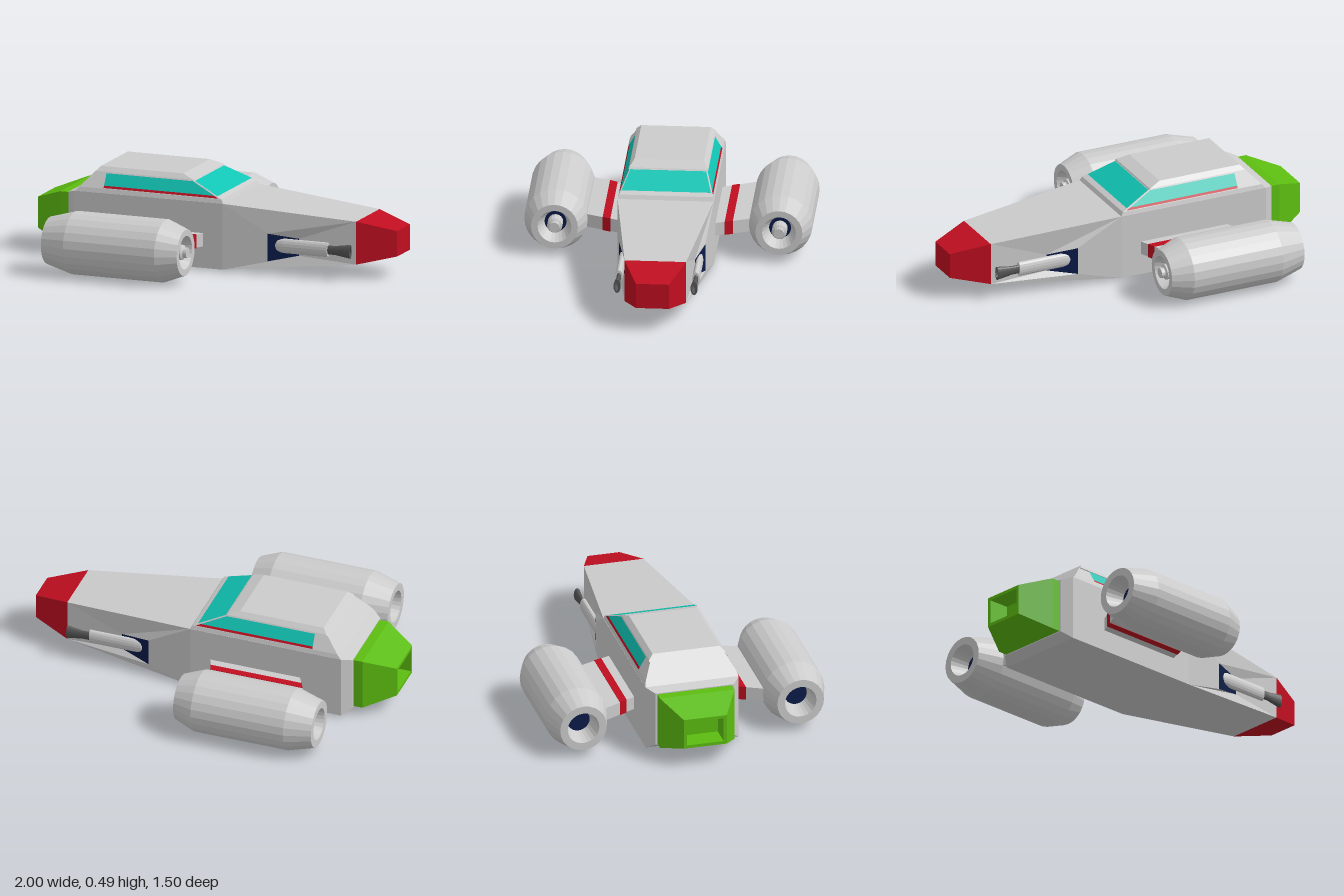
import * as THREE from 'three';

const mat = (color) => new THREE.MeshStandardMaterial({ color, flatShading: true });

// Triangulates a list of convex polygons as fans
function polyGeometry(polys) {
  const pos = [];
  for (const p of polys)
    for (let i = 1; i < p.length - 1; i++) pos.push(...p[0], ...p[i], ...p[i + 1]);
  const g = new THREE.BufferGeometry();
  g.setAttribute('position', new THREE.Float32BufferAttribute(pos, 3));
  g.computeVertexNormals();
  return g;
}

// Skins consecutive four-cornered rings; caps are optional
function loft(rings, startCap = true, endCap = true) {
  const polys = [];
  for (let k = 0; k < rings.length - 1; k++) {
    const a = rings[k], b = rings[k + 1];
    for (let i = 0; i < 4; i++) {
      const j = (i + 1) % 4;
      polys.push([a[i], a[j], b[j], b[i]]);
    }
  }
  if (startCap) polys.push([...rings[0]].reverse());
  if (endCap) polys.push(rings[rings.length - 1]);
  return polys;
}

const xRing = (x, y0, y1, h) => [[x, y0, h], [x, y0, -h], [x, y1, -h], [x, y1, h]];
const yRing = (y, xr, xf, h) => [[xr, y, h], [xf, y, h], [xf, y, -h], [xr, y, -h]];
const mirrorZ = (polys) => polys.map((p) => p.map(([x, y, z]) => [x, y, -z]).reverse());
const bothSides = (polys) => [...polys, ...mirrorZ(polys)];

// Turned part whose axis runs along x; points are [radius, x]
function turned(points, sides) {
  const g = new THREE.LatheGeometry(points.map(([r, x]) => new THREE.Vector2(r, x)), sides);
  return g.rotateZ(-Math.PI / 2);
}

export function createModel() {
  const model = new THREE.Group();
  const grey = mat(0xcccccc), red = mat(0xc00e20), teal = mat(0x10c4b4);
  const green = mat(0x5cbc10), navy = mat(0x0a1a48), dark = mat(0x555555);

  const add = (parent, name, geometry, material) => {
    const m = new THREE.Mesh(geometry, material);
    m.name = name;
    parent.add(m);
    return m;
  };

  // Hull: boxy rear, then a tapering bow with a dent in each flank
  const mid = xRing(0.09, 0.015, 0.365, 0.25);
  const bow = xRing(0.8, 0.085, 0.313, 0.16);
  const hull = loft([xRing(-0.79, 0.05, 0.345, 0.21), xRing(-0.74, 0.015, 0.362, 0.25), mid], true, false);
  const [B, Bn, An, A] = mid, [C, Cn, Dn, D] = bow;
  const recess = [[0.33, 0.075, 0.224], [0.49, 0.11, 0.182], [0.49, 0.2, 0.182], [0.33, 0.222, 0.224]];
  const [P, Q, R, S] = recess;
  hull.push([B, Bn, Cn, C], [An, A, D, Dn]);
  hull.push(...bothSides([[A, B, P, S], [B, C, Q, P], [C, D, R, Q], [D, A, S, R]]));
  add(model, 'hull', polyGeometry(hull), grey);
  add(model, 'gunRecesses', polyGeometry(bothSides([recess])), navy);

  add(model, 'nose', polyGeometry(loft([bow, xRing(1, 0.13, 0.265, 0.086)])), red);

  // Hollow tail nozzle, from the recess floor out over the rim
  add(model, 'tailNozzle', polyGeometry(loft([
    xRing(-0.88, 0.13, 0.265, 0.1), xRing(-1, 0.132, 0.263, 0.098), xRing(-1, 0.115, 0.28, 0.115),
    xRing(-0.84, 0.055, 0.34, 0.2), xRing(-0.785, 0.055, 0.34, 0.2),
  ], true, false)), green);

  // Cabin with a slightly overhanging roof
  add(model, 'cabin', polyGeometry(loft([
    yRing(0.36, -0.74, 0.095, 0.25), yRing(0.385, -0.717, 0.08, 0.243), yRing(0.46, -0.648, -0.09, 0.2),
  ])), grey);
  add(model, 'roof', polyGeometry(loft([
    yRing(0.46, -0.648, -0.09, 0.207), yRing(0.467, -0.641, -0.095, 0.203), yRing(0.49, -0.62, -0.16, 0.18),
  ])), grey);

  // Windows and stripes lie just above the sloping cabin walls
  const wallZ = (y) => 0.246 - (y - 0.385) * 0.573;
  const frontX = (y) => 0.083 - (y - 0.385) * 2.267;
  const band = (y0, y1) => [[
    [-0.58, y0, wallZ(y0)], [frontX(y0) - 0.012, y0, wallZ(y0)],
    [frontX(y1) - 0.012, y1, wallZ(y1)], [-0.58, y1, wallZ(y1)],
  ]];
  add(model, 'sideWindows', polyGeometry(bothSides(band(0.4, 0.46))), teal);
  add(model, 'cabinStripes', polyGeometry(bothSides(band(0.389, 0.4))), red);
  const wy0 = 0.398, wy1 = 0.46;
  add(model, 'windscreen', polyGeometry([[
    [frontX(wy0), wy0, wallZ(wy0) - 0.006], [frontX(wy0), wy0, 0.006 - wallZ(wy0)],
    [frontX(wy1), wy1, 0.006 - wallZ(wy1)], [frontX(wy1), wy1, wallZ(wy1) - 0.006],
  ]]), teal);

  // Wing slab between two distances from the hull, following the swept plan
  const wingSlab = (z0, z1, t) => {
    const edge = (z) => {
      const k = (z - 0.25) / 0.17;
      const xr = -0.515 - 0.085 * k - t, xf = -0.02 - 0.07 * k + t;
      return [[xr, 0.13 - t, z], [xf, 0.13 - t, z], [xf, 0.2 + t, z], [xr, 0.2 + t, z]];
    };
    return loft([edge(z0), edge(z1)]);
  };

  for (const s of [1, -1]) {
    const side = s > 0 ? 'right' : 'left';
    const geo = (polys) => polyGeometry(s > 0 ? polys : mirrorZ(polys));
    add(model, side + 'Wing', geo(wingSlab(0.24, 0.46, 0)), grey);
    add(model, side + 'WingStripe', geo(wingSlab(0.297, 0.338, 0.002)), red);

    // Engine pod with funnel-shaped openings at both ends
    const engine = new THREE.Group();
    engine.name = side + 'Engine';
    engine.position.set(0, 0.17, s * 0.583);
    add(engine, 'pod', turned([
      [0, -0.62], [0.06, -0.62], [0.085, -0.74], [0.125, -0.74], [0.165, -0.6],
      [0.165, -0.09], [0.122, 0.02], [0.088, 0.02], [0.056, -0.06], [0, -0.06],
    ], 24), grey);
    add(engine, 'intakeDisc', turned([[0, -0.08], [0.057, -0.08], [0.057, -0.055], [0, -0.055]], 24), navy);
    add(engine, 'exhaustDisc', turned([[0, -0.63], [0.06, -0.63], [0.06, -0.6], [0, -0.6]].map(
      ([r, x]) => [r, x - 0.01]), 24), navy);
    add(engine, 'hub', turned([
      [0, -0.06], [0.04, -0.06], [0.04, 0.005], [0.027, 0.012], [0.027, 0.032], [0, 0.032],
    ], 16), grey);
    model.add(engine);

    // Flattened gun lying in the flank dent
    const gun = new THREE.Group();
    gun.name = side + 'Gun';
    gun.position.set(0, 0.16, s * 0.2);
    gun.scale.z = 0.5;
    add(gun, 'barrel', turned([
      [0, 0.35], [0.022, 0.358], [0.035, 0.38], [0.039, 0.41], [0.039, 0.66], [0, 0.66],
    ], 16), grey);
    add(gun, 'muzzle', turned([
      [0.024, 0.65], [0.024, 0.7], [0.037, 0.785], [0.026, 0.785], [0.015, 0.74], [0, 0.74],
    ], 16), dark);
    model.add(gun);
  }

  return model;
}
